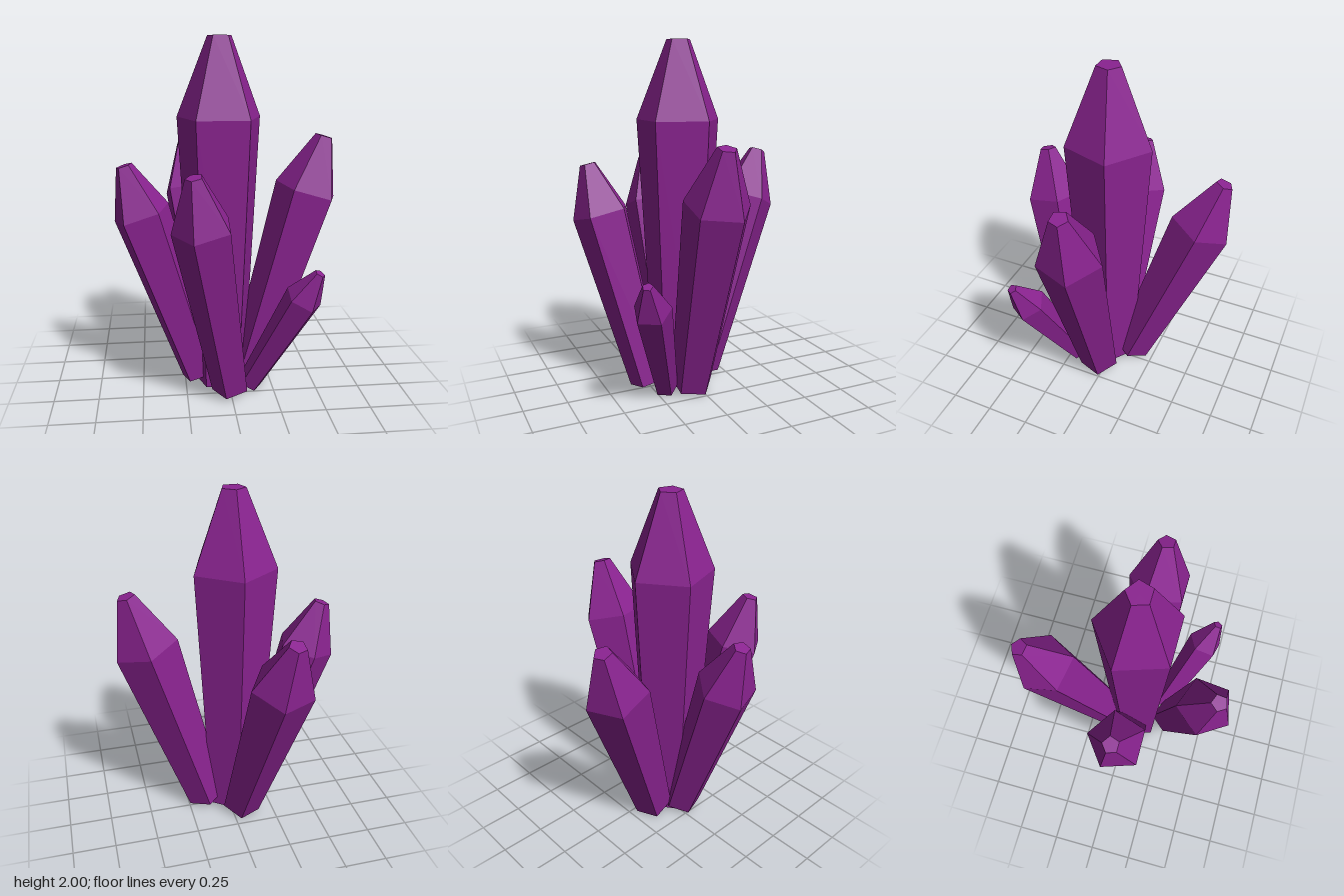
import * as THREE from 'three';

const UP = new THREE.Vector3(0, 1, 0);

// One five-sided crystal: narrow foot, wide shoulder, cut tip.
// turn is the angle in degrees of one corner, measured from +x towards +z.
function crystal(name, base, tip, radius, turn, material) {
  const foot = new THREE.Vector3(...base);
  const axis = new THREE.Vector3(...tip).sub(foot);
  const length = axis.length();
  const profile = [
    [0, 0],
    [radius * 0.645, 0],
    [radius, length * 0.78],
    [radius * 0.28, length],
    [0, length],
  ].map(([x, y]) => new THREE.Vector2(x, y));
  const start = THREE.MathUtils.degToRad(90 - turn);
  const mesh = new THREE.Mesh(new THREE.LatheGeometry(profile, 5, start), material);
  mesh.name = name;
  mesh.position.copy(foot);
  mesh.quaternion.setFromUnitVectors(UP, axis.normalize());
  return mesh;
}

export function createModel() {
  const group = new THREE.Group();
  group.name = 'crystalCluster';
  const purple = new THREE.MeshStandardMaterial({ color: 0x8a2390, flatShading: true });
  purple.name = 'purple';

  // name, foot centre, tip centre, shoulder radius, turn
  const crystals = [
    ['mainCrystal', [-0.04, 0, 0.045], [-0.04, 2, 0.045], 0.248, -90],
    ['leftCrystal', [0.135, 0.04, 0.045], [0.555, 1.45, 0.045], 0.188, -90],
    ['rightCrystal', [-0.165, 0.04, 0.045], [-0.575, 1.3, 0.045], 0.17, -90],
    ['backCrystal', [-0.06, 0.04, -0.105], [-0.21, 1.35, -0.565], 0.18, -5.5],
    ['frontCrystal', [0, 0.045, 0.262], [-0.215, 1.315, 0.53], 0.168, 39],
    ['smallCrystal', [0.115, 0.035, 0.2], [0.457, 0.767, 0.435], 0.107, 141],
  ];
  for (const parts of crystals) group.add(crystal(...parts, purple));
  return group;
}
